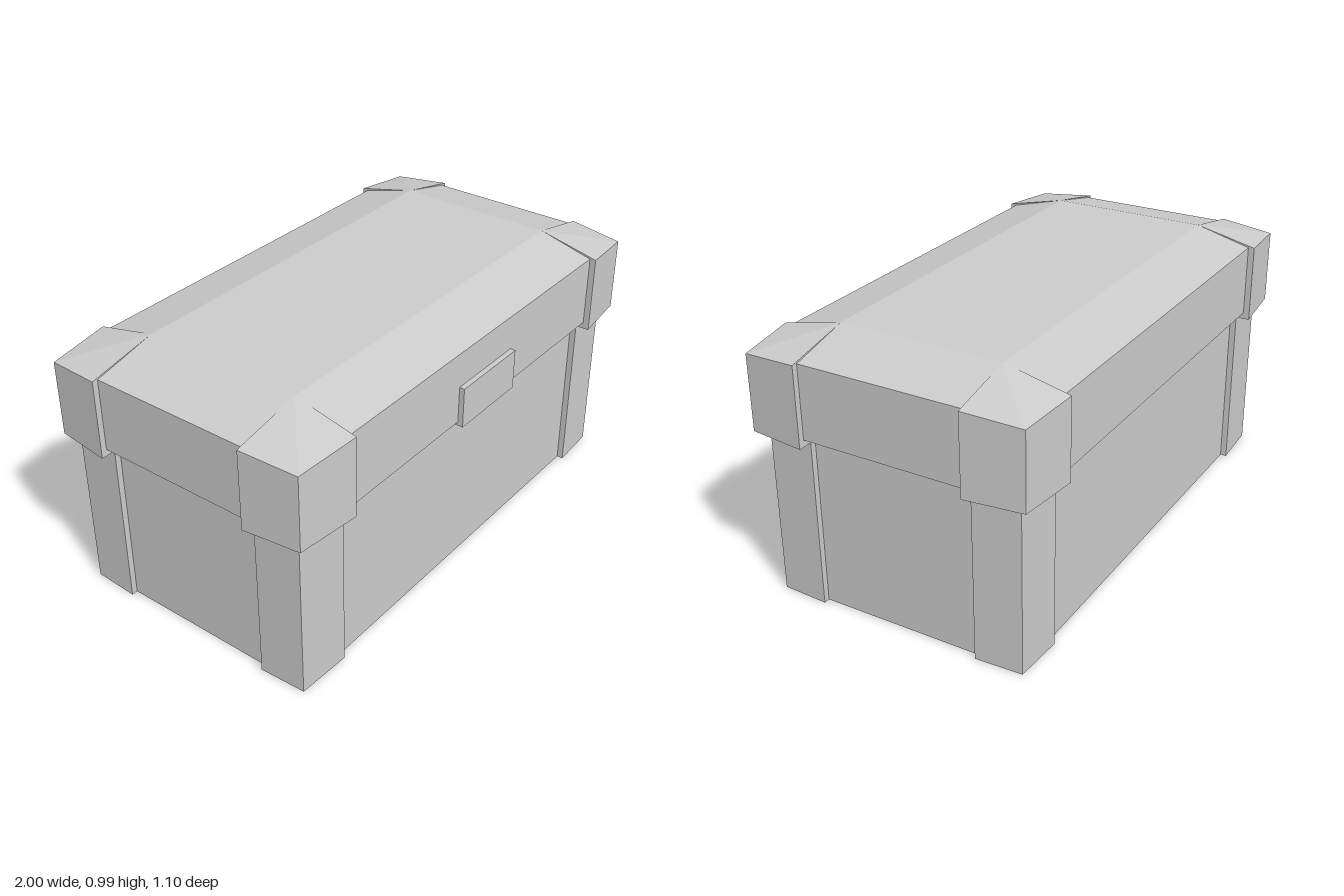
import * as THREE from 'three';

// Corner quadrants, walking round from front left; turn = order of points within a corner
const QUADS = [[1, 1], [1, -1], [-1, -1], [-1, 1]];
const innerX = (sx) => (sx > 0 ? 0.745 : -0.73);
const INNER_Z = 0.31;
const PEAK = 0.99;

// Closed flat-shaded solid through rings of equal length, bottom to top
function loft(rings) {
  const pos = [];
  const tri = (a, b, c) => {
    const n = b.clone().sub(a).cross(c.clone().sub(a));
    if (n.length() > 1e-8) for (const p of [a, b, c]) pos.push(p.x, p.y, p.z);
  };
  const n = rings[0].length;
  for (let r = 0; r < rings.length - 1; r++) {
    for (let i = 0; i < n; i++) {
      const j = (i + 1) % n;
      tri(rings[r][i], rings[r][j], rings[r + 1][j]);
      tri(rings[r][i], rings[r + 1][j], rings[r + 1][i]);
    }
  }
  const low = rings[0];
  const top = rings[rings.length - 1];
  for (let i = 1; i < n - 1; i++) {
    tri(low[0], low[i + 1], low[i]);
    tri(top[0], top[i], top[i + 1]);
  }
  const geo = new THREE.BufferGeometry();
  geo.setAttribute('position', new THREE.Float32BufferAttribute(pos, 3));
  geo.computeVertexNormals();
  return geo;
}

// Three outline points of one corner: front/back edge, corner, side edge
function cornerPoints([sx, sz], X, Z, cx, cz, edgeY, cornerY) {
  const pts = [
    new THREE.Vector3(innerX(sx), edgeY, sz * Z),
    new THREE.Vector3(sx * cx, cornerY, sz * cz),
    new THREE.Vector3(sx * X, edgeY, sz * INNER_Z),
  ];
  return sx * sz > 0 ? pts : pts.reverse();
}

const outline = (...args) => QUADS.flatMap((q) => cornerPoints(q, ...args));

export function createModel() {
  const model = new THREE.Group();
  model.name = 'chest';
  const material = new THREE.MeshStandardMaterial({ color: 0xcccccc, flatShading: true });
  const add = (name, geometry) => {
    const mesh = new THREE.Mesh(geometry, material);
    mesh.name = name;
    model.add(mesh);
    return mesh;
  };

  // Body: recessed panels, corners tucked behind the guards
  const body = [0.922, 0.473, 0.91, 0.462];
  add('body', loft([outline(...body, 0, 0), outline(...body, 0.7, 0.7)]));

  // Lid: straight sides, sloping edges and a flat top
  const lid = [0.978, 0.526, 0.95, 0.5];
  const plateau = QUADS.flatMap(([sx, sz]) =>
    [0, 1, 2].map(() => new THREE.Vector3(innerX(sx), PEAK, sz * INNER_Z)));
  add('lid', loft([
    outline(...lid, 0.66, 0.66),
    outline(...lid, 0.934, 0.9),
    plateau,
  ]));

  // Corner guards: one set on the body, a larger set on the lid
  const guard = (q, shape, y0, edgeY, cornerY, innerY) => {
    const inner = (y) => new THREE.Vector3(innerX(q[0]), y, q[1] * INNER_Z);
    return loft([
      [inner(y0), ...cornerPoints(q, ...shape, y0, y0)],
      [inner(innerY), ...cornerPoints(q, ...shape, edgeY, cornerY)],
    ]);
  };
  for (const q of QUADS) {
    const place = (q[1] > 0 ? 'Front' : 'Back') + (q[0] > 0 ? 'Left' : 'Right');
    add('bodyGuard' + place, guard(q, [0.945, 0.497, 0.937, 0.487], 0, 0.7, 0.7, 0.7));
    add('lidGuard' + place, guard(q, [1, 0.55, 0.975, 0.525], 0.635, 0.936, 0.919, PEAK));
  }

  // Clasp plate on the front of the lid
  add('clasp', new THREE.BoxGeometry(0.325, 0.155, 0.075)).position.set(0.033, 0.723, 0.5085);

  return model;
}
